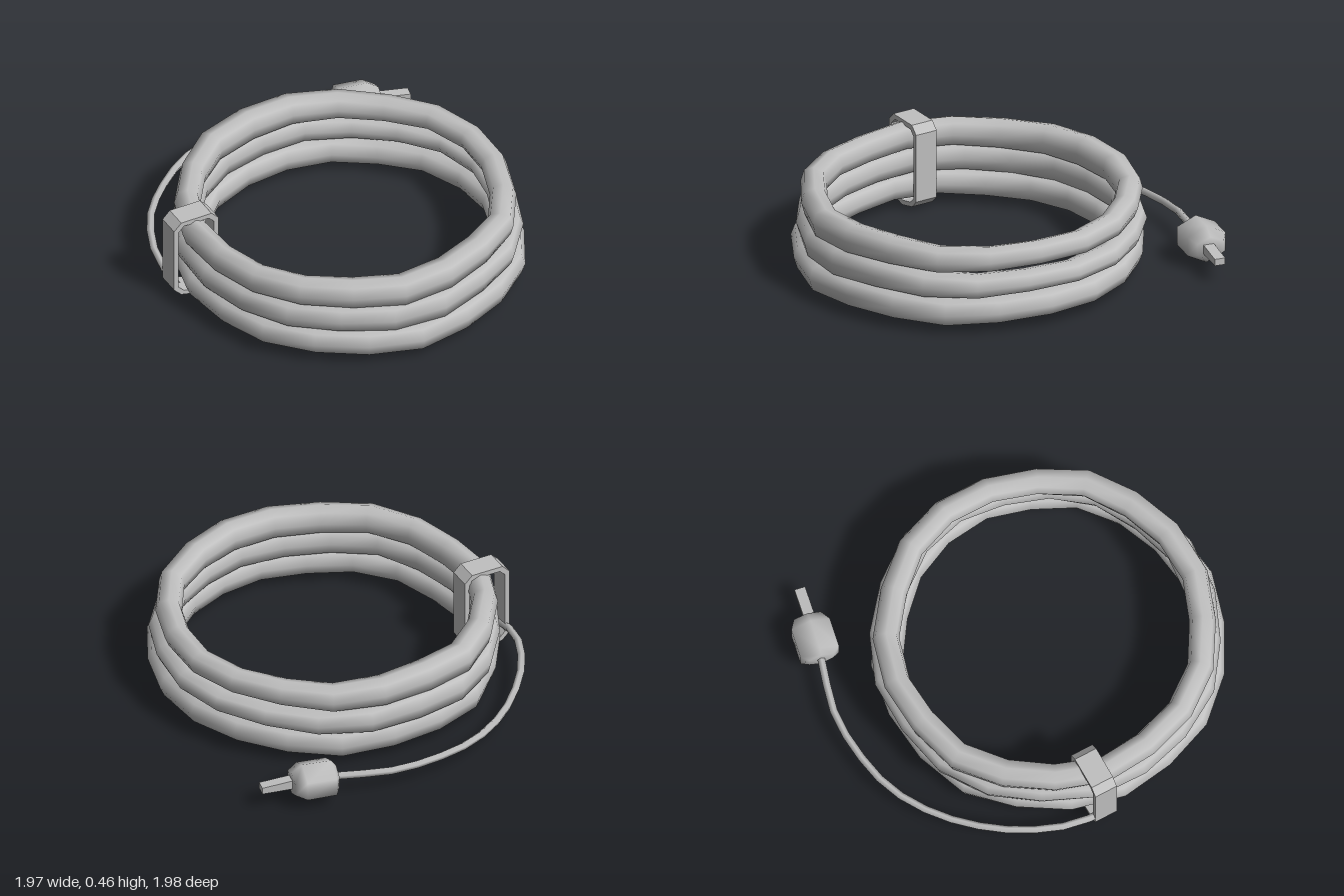
import * as THREE from 'three';

// Lofts equal-sized point loops into one smooth skin, optionally joined end to end or capped
function loft(loops, closed) {
  const n = loops[0].length, m = loops.length, pos = [], idx = [];
  loops.forEach(l => l.forEach(p => pos.push(p.x, p.y, p.z)));
  for (let i = 0; i < (closed ? m : m - 1); i++) {
    for (let j = 0; j < n; j++) {
      const a = i * n + j, b = i * n + (j + 1) % n;
      const c = ((i + 1) % m) * n + j, d = ((i + 1) % m) * n + (j + 1) % n;
      idx.push(a, b, c, b, d, c);
    }
  }
  if (!closed) {
    for (let j = 1; j < n - 1; j++) {
      idx.push(0, j + 1, j);
      const e = (m - 1) * n;
      idx.push(e, e + j, e + j + 1);
    }
  }
  const g = new THREE.BufferGeometry();
  g.setAttribute('position', new THREE.Float32BufferAttribute(pos, 3));
  g.setIndex(idx);
  g.computeVertexNormals();
  return g;
}

// One turn of hose: an oval section that flattens where the turns press together
function coilGeometry({ cx, cz, R, rx, y, ry, gap, phase }) {
  const loops = [], segs = 20, sides = 8;
  for (let i = 0; i < segs; i++) {
    const t = i / segs * Math.PI * 2 + phase;
    const squash = 0.5 + 0.5 * Math.cos(t * 2 - 3.3);
    const power = 1 - 0.4 * squash;
    const open = Math.max(0, Math.cos(t - 0.15)) * gap;
    const r0 = R + 0.009 * Math.sin(i * 2.3 + phase * 9);
    const y0 = y + 0.006 * Math.sin(i * 1.7 + phase * 5);
    const loop = [];
    for (let j = 0; j < sides; j++) {
      const a = j / sides * Math.PI * 2;
      const c = Math.cos(a), s = Math.sin(a);
      const r = r0 + rx * Math.sign(c) * Math.abs(c) ** power;
      const h = (ry - open) * Math.sign(s) * Math.abs(s) ** power;
      loop.push(new THREE.Vector3(cx + r * Math.cos(t), y0 + h, cz + r * Math.sin(t)));
    }
    loops.push(loop);
  }
  return loft(loops, true);
}

export function createModel() {
  const model = new THREE.Group();
  model.name = 'coiledCable';
  const grey = new THREE.MeshStandardMaterial({ color: 0xc0c0c0 });
  grey.name = 'light grey';
  const add = (geometry, name, parent = model) => {
    const mesh = new THREE.Mesh(geometry, grey);
    mesh.name = name;
    parent.add(mesh);
    return mesh;
  };

  // Three stacked turns
  add(coilGeometry({ cx: -0.115, cz: 0.11, R: 0.8, rx: 0.08, y: 0.122, ry: 0.072, gap: 0, phase: 0.05 }), 'bottomCoil');
  add(coilGeometry({ cx: -0.11, cz: 0.09, R: 0.8, rx: 0.072, y: 0.25, ry: 0.076, gap: 0.02, phase: 0.2 }), 'middleCoil');
  add(coilGeometry({ cx: -0.115, cz: 0.085, R: 0.785, rx: 0.066, y: 0.38, ry: 0.075, gap: 0.014, phase: 0.12 }), 'topCoil');

  // Strap wrapped around the bundle
  const outline = (w, top, bottom, c) => [
    [-w + c, bottom + c * 0.5], [0, bottom], [w - c, bottom + c * 0.5], [w, bottom + c * 1.5],
    [w, top - c], [w - c, top], [-w + c, top], [-w, top - c], [-w, bottom + c * 1.5],
  ].map(p => new THREE.Vector2(...p));
  const strapShape = new THREE.Shape(outline(0.125, 0.47, 0.01, 0.04));
  strapShape.holes.push(new THREE.Path(outline(0.1, 0.445, 0.035, 0.03).reverse()));
  const strapGeo = new THREE.ExtrudeGeometry(strapShape, { depth: 0.12, bevelEnabled: false });
  strapGeo.translate(0, 0, -0.06);
  const strap = add(strapGeo, 'strap');
  strap.position.set(-0.815, 0, -0.3);
  strap.rotation.y = -0.3;

  // Loose end of the cable, sweeping round the back to the plug
  const path = new THREE.CatmullRomCurve3([
    [-0.93, 0.09, -0.28], [-0.86, 0.12, -0.49], [-0.67, 0.13, -0.72], [-0.42, 0.11, -0.88],
    [-0.2, 0.11, -0.96], [0, 0.11, -0.98], [0.37, 0.115, -0.9], [0.64, 0.125, -0.73],
  ].map(p => new THREE.Vector3(...p)));
  add(new THREE.TubeGeometry(path, 14, 0.02, 5), 'looseCable');

  // Plug: chunky tapered body with a flat prong, built along its own +x
  const plug = new THREE.Group();
  plug.name = 'plug';
  plug.position.set(0.74, 0.125, -0.675);
  plug.rotation.y = -0.5;
  model.add(plug);
  const section = (x, h, w) => Array.from({ length: 6 }, (_, j) => {
    const a = (j + 0.5) / 6 * Math.PI * 2;
    return new THREE.Vector3(x, h * Math.sin(a), -w * Math.cos(a));
  });
  const body = [[-0.115, 0.06, 0.07], [-0.09, 0.095, 0.115], [0.06, 0.098, 0.115], [0.115, 0.06, 0.08]];
  add(loft(body.map(s => section(...s)), false), 'plugBody', plug);
  const prong = add(new THREE.BoxGeometry(0.18, 0.05, 0.055), 'prong', plug);
  prong.position.set(0.18, 0, 0.01);
  const p = prong.geometry.attributes.position;
  for (let i = 0; i < p.count; i++) if (p.getX(i) > 0) p.setY(i, p.getY(i) * 0.7 - 0.008);
  prong.geometry.computeVertexNormals();

  // Check the winding of lofted skins: outward faces have positive volume
  model.traverse(o => {
    if (!o.isMesh || !o.geometry.index || o.name === 'looseCable' || o.name === 'prong') return;
    const g = o.geometry, q = g.attributes.position, ix = g.index;
    const [a, b, c] = [0, 1, 2].map(() => new THREE.Vector3());
    let volume = 0;
    for (let i = 0; i < ix.count; i += 3) {
      [a, b, c].forEach((v, k) => v.fromBufferAttribute(q, ix.getX(i + k)));
      volume += a.dot(b.cross(c));
    }
    if (volume < 0) {
      for (let i = 0; i < ix.count; i += 3) {
        const s = ix.getX(i);
        ix.setX(i, ix.getX(i + 1));
        ix.setX(i + 1, s);
      }
      g.computeVertexNormals();
    }
  });
  return model;
}
